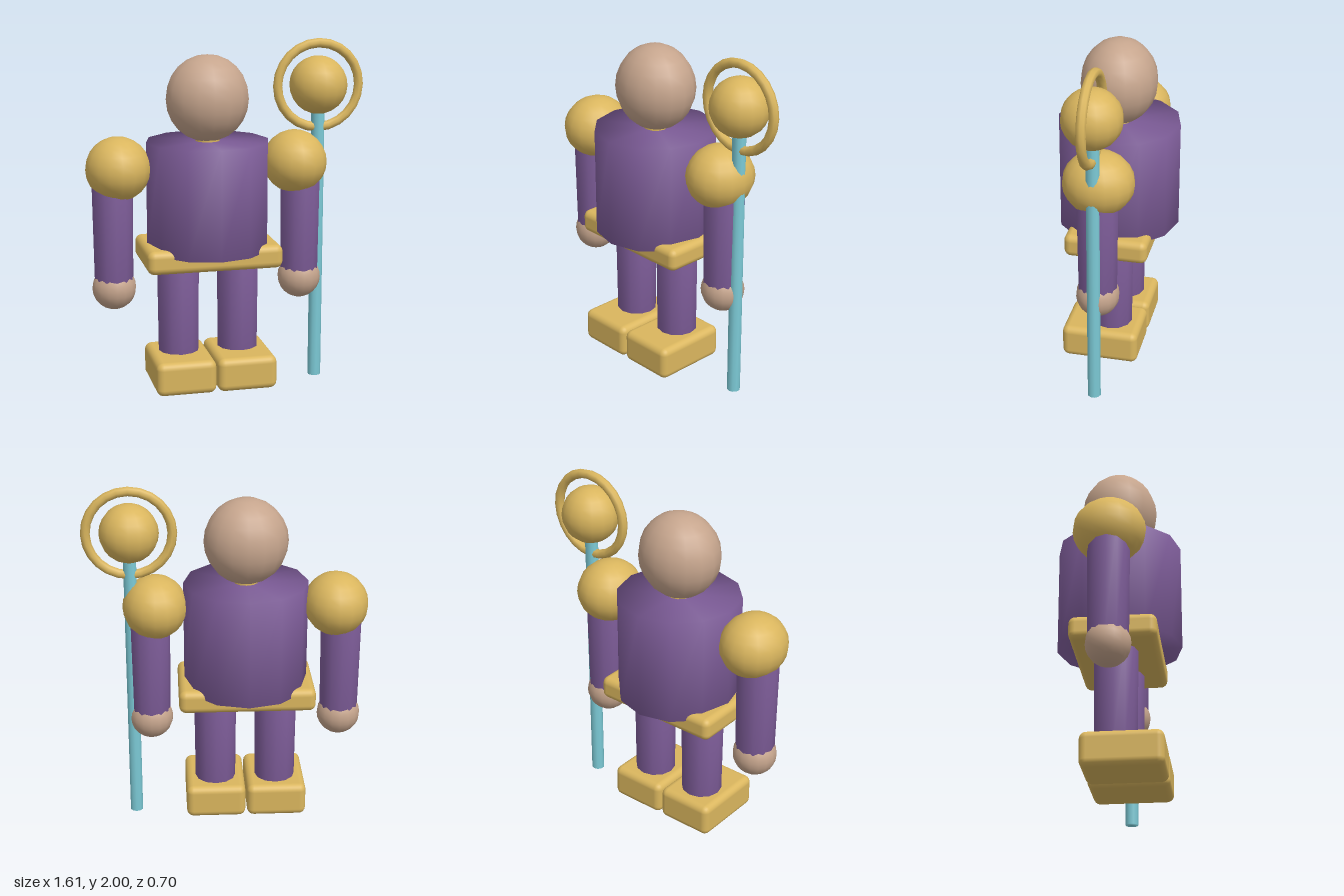
import * as THREE from 'three';
import { mergeVertices } from 'three/addons/utils/BufferGeometryUtils.js';
import { RoundedBoxGeometry } from 'three/addons/geometries/RoundedBoxGeometry.js';

const AXIS = -0.11; // body centre line, the staff stands off to the left

function material(name, color) {
  const m = new THREE.MeshStandardMaterial({ color });
  m.name = name;
  return m;
}

// Cylinder with one shared set of normals, so the rims shade softly
function softCylinder(top, bottom, height, sides) {
  const g = new THREE.CylinderGeometry(top, bottom, height, sides);
  g.deleteAttribute('normal');
  g.deleteAttribute('uv');
  const merged = mergeVertices(g, 1e-4);
  merged.computeVertexNormals();
  return merged;
}

export function createModel() {
  const purple = material('purple cloth', 0x7d5c98);
  const gold = material('gold', 0xdab65e);
  const skin = material('skin', 0xc6a58d);
  const teal = material('teal', 0x7ccad6);

  const model = new THREE.Group();
  model.name = 'staffBearer';

  function add(name, geometry, mat, x, y, z = 0) {
    const mesh = new THREE.Mesh(geometry, mat);
    mesh.name = name;
    mesh.position.set(x, y, z);
    model.add(mesh);
    return mesh;
  }

  function ball(name, mat, x, y, rx, ry, rz) {
    const g = new THREE.SphereGeometry(1, 16, 12);
    g.scale(rx, ry, rz);
    return add(name, g, mat, x, y);
  }

  // Head, collar, torso and belt
  ball('head', skin, AXIS, 1.68, 0.237, 0.245, 0.217);
  add('collar', new THREE.CylinderGeometry(0.07, 0.07, 0.06, 12), gold, AXIS, 1.42);
  add('torso', softCylinder(0.352, 0.352, 0.62, 12), purple, AXIS, 1.13);
  add('belt', new RoundedBoxGeometry(0.775, 0.135, 0.48, 3, 0.04), gold, AXIS, 0.798);

  // Limbs, mirrored about the body centre line
  for (const [side, s] of [['right', -1], ['left', 1]]) {
    ball(side + 'Shoulder', gold, AXIS + s * 0.512, 1.3, 0.183, 0.181, 0.2);
    add(side + 'Arm', softCylinder(0.117, 0.11, 0.61, 12), purple, AXIS + s * 0.545, 0.96);
    ball(side + 'Hand', skin, AXIS + s * 0.545, 0.615, 0.125, 0.125, 0.122);
    add(side + 'Leg', softCylinder(0.122, 0.117, 0.59, 12), purple, AXIS + s * 0.175, 0.455);
    add(side + 'Boot', new RoundedBoxGeometry(0.345, 0.195, 0.45, 3, 0.04), gold,
      AXIS + s * 0.177, 0.123, 0.045);
  }

  // Staff with orb and halo ring
  const staffX = 0.537;
  add('staffPole', softCylinder(0.038, 0.038, 1.6, 10), teal, staffX, 0.8);
  ball('staffOrb', gold, staffX, 1.735, 0.166, 0.166, 0.166);
  add('staffRing', new THREE.TorusGeometry(0.24, 0.027, 8, 24), gold, staffX, 1.733);

  return model;
}
